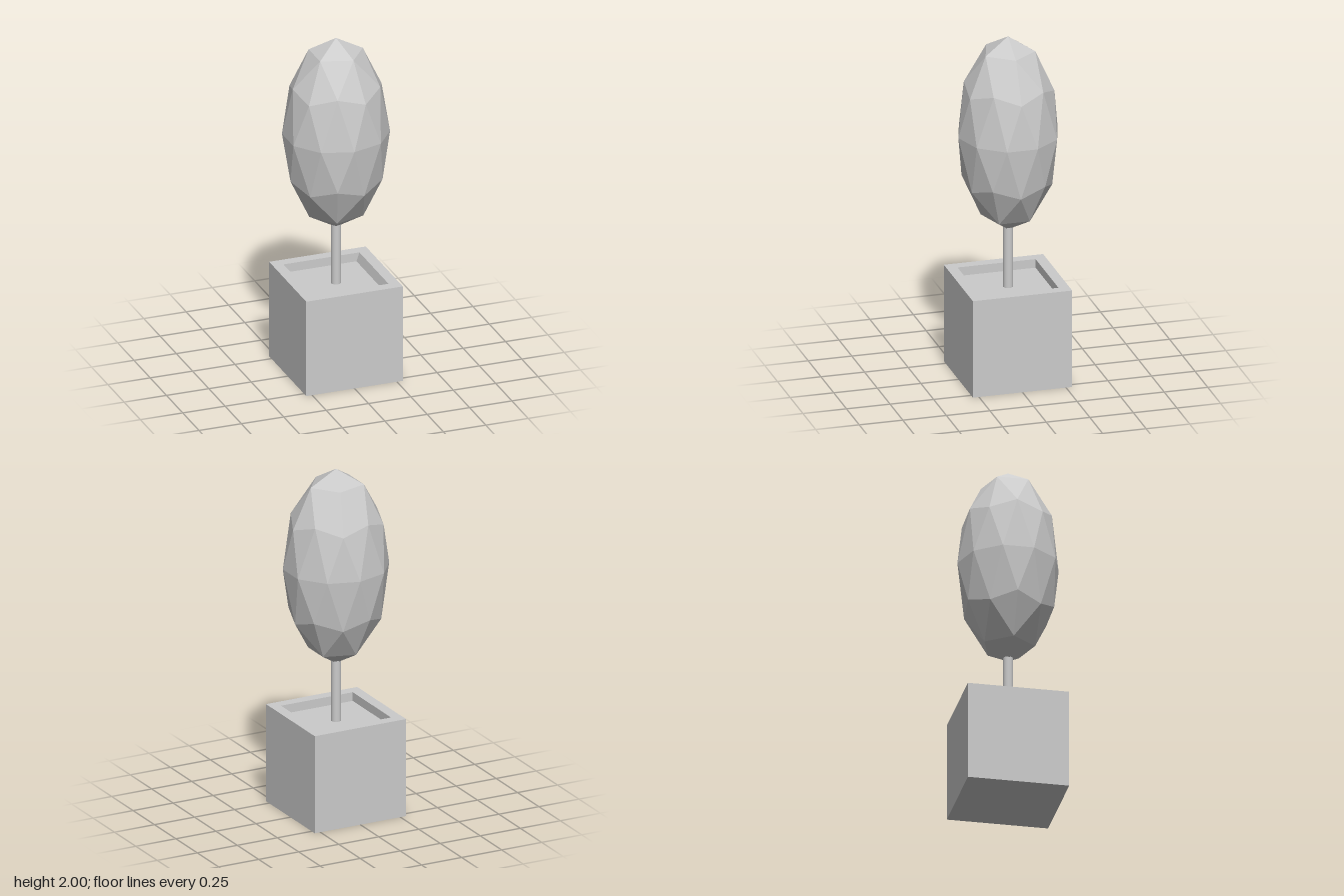
import * as THREE from 'three';

const material = new THREE.MeshStandardMaterial({ color: 0xcccccc, flatShading: true });
const smoothMaterial = new THREE.MeshStandardMaterial({ color: 0xcccccc });

function addPart(group, name, geometry, mat = material) {
  const mesh = new THREE.Mesh(geometry, mat);
  mesh.name = name;
  group.add(mesh);
  return mesh;
}

// Skin a stack of rectangular loops [xMin, xMax, halfDepth, y], capped at both ends.
function loftRectangles(loops) {
  const points = [];
  const index = [];
  for (const [x0, x1, z, y] of loops) {
    points.push(x0, y, z, x1, y, z, x1, y, -z, x0, y, -z);
  }
  const quad = (a, b, c, d) => index.push(a, b, c, a, c, d);
  quad(3, 2, 1, 0);
  for (let i = 0; i < loops.length - 1; i++) {
    for (let k = 0; k < 4; k++) {
      const a = i * 4 + k;
      const b = i * 4 + ((k + 1) % 4);
      quad(a, b, b + 4, a + 4);
    }
  }
  const last = (loops.length - 1) * 4;
  quad(last, last + 1, last + 2, last + 3);

  const indexed = new THREE.BufferGeometry();
  indexed.setAttribute('position', new THREE.Float32BufferAttribute(points, 3));
  indexed.setIndex(index);
  const geometry = indexed.toNonIndexed();
  geometry.computeVertexNormals();
  return geometry;
}

export function createModel() {
  const group = new THREE.Group();
  group.name = 'pottedTree';

  // Cube planter with a shallow recess; its +x inner wall leans inward
  const half = 0.285;
  const rim = 0.224;
  const top = 0.571;
  const soil = 0.52;
  addPart(group, 'planter', loftRectangles([
    [-half, half, half, 0],
    [-half, half, half, top],
    [-rim, rim, rim, top],
    [-rim, 0.207, rim, soil],
  ]));

  // Slim round trunk from the soil into the foliage
  const trunkTop = 0.9;
  const trunk = addPart(group, 'trunk',
    new THREE.CylinderGeometry(0.028, 0.028, trunkTop - soil, 16), smoothMaterial);
  trunk.position.y = (trunkTop + soil) / 2;

  // Faceted foliage: icosphere turned pole-up, stretched tall
  const foliage = new THREE.IcosahedronGeometry(1, 1);
  foliage.rotateZ(-Math.atan(2 / (1 + Math.sqrt(5))));
  foliage.scale(0.3, 0.571, 0.285);
  foliage.computeVertexNormals();
  addPart(group, 'foliage', foliage).position.y = 1.429;

  return group;
}
